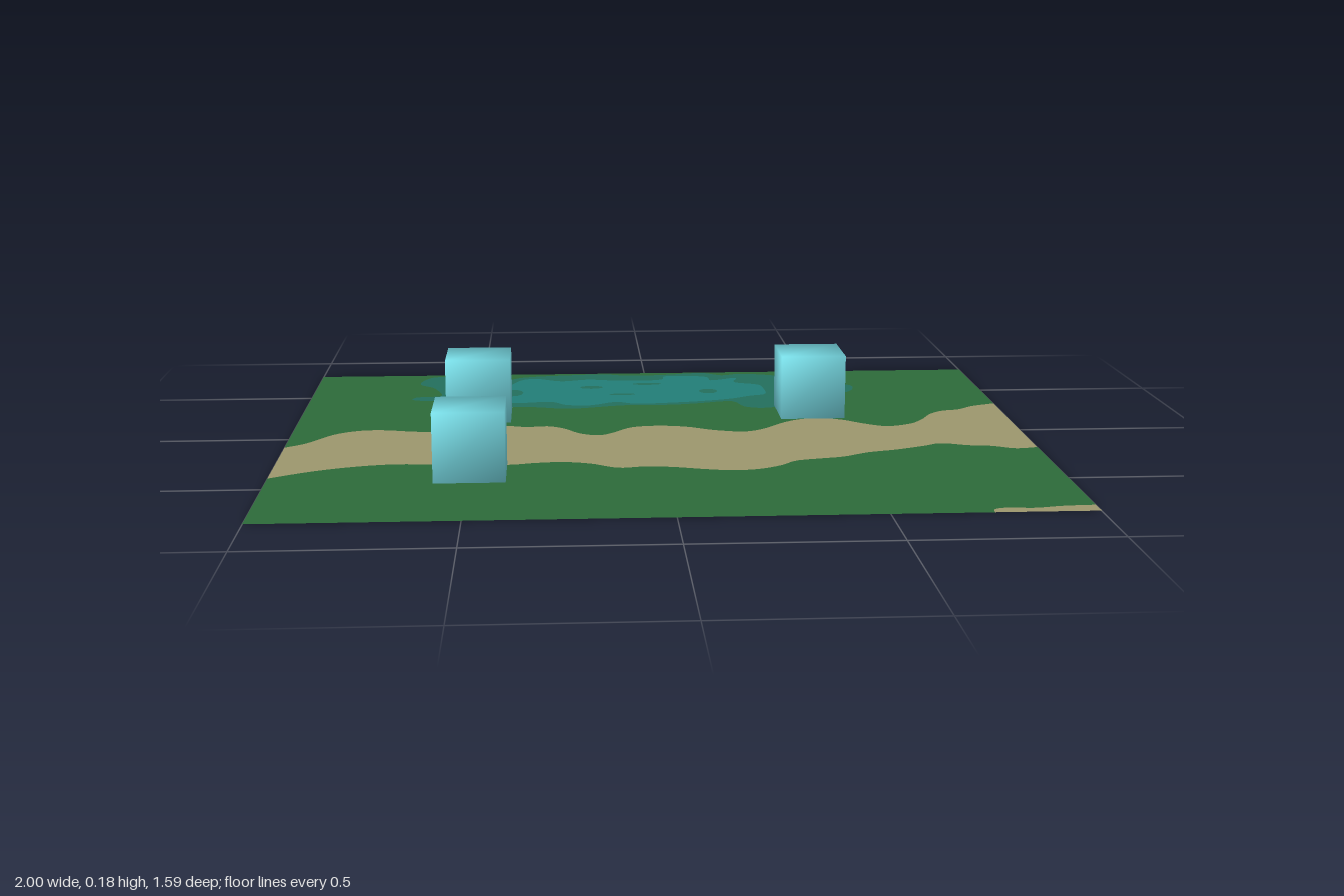
import * as THREE from 'three';
import { mergeVertices } from 'three/addons/utils/BufferGeometryUtils.js';

const flat = (name, color) => new THREE.MeshStandardMaterial({ name, color, side: THREE.DoubleSide });

// smooth outline through [x, z, x, z, ...], as points on the shape plane (y = -z)
function outline(values, closed) {
  const pts = [];
  for (let i = 0; i < values.length; i += 2) pts.push(new THREE.Vector3(values[i], -values[i + 1], 0));
  return new THREE.CatmullRomCurve3(pts, closed).getPoints(pts.length * 4)
    .slice(0, closed ? -1 : undefined)
    .map((p) => new THREE.Vector2(p.x, p.y));
}

const oval = (x, z, rx, rz) => Array.from({ length: 12 }, (_, i) => {
  const a = (i / 12) * Math.PI * 2;
  return new THREE.Vector2(x + rx * Math.cos(a), -z + rz * Math.sin(a));
});

// flat ground patch lying just above the cube bottoms
function patch(name, points, material, holes = []) {
  const shape = new THREE.Shape(points);
  shape.holes = holes.map((h) => new THREE.Path(h));
  const mesh = new THREE.Mesh(new THREE.ShapeGeometry(shape).rotateX(-Math.PI / 2), material);
  mesh.position.y = 0.001;
  mesh.name = name;
  return mesh;
}

export function createModel() {
  const group = new THREE.Group();
  const grass = flat('grass green', 0x2d6b3a);
  const sand = flat('sandy path', 0x9c966d);
  const shallow = flat('shallow water', 0x236f5d);
  const deep = flat('deep water', 0x227e78);
  const cyan = new THREE.MeshStandardMaterial({ name: 'cyan', color: 0x7adfe9 });
  const W = 1, D = 0.795;
  const at = (x, z) => new THREE.Vector2(x, -z);

  // winding path edges, from -x to +x
  const north = outline([
    -1, 0.09, -0.95, 0.05, -0.88, -0.05, -0.82, -0.085, -0.76, -0.09, -0.65, -0.065, -0.57, -0.07,
    -0.5, -0.09, -0.42, -0.12, -0.36, -0.105, -0.3, -0.11, -0.26, -0.085, -0.21, -0.02, -0.16, 0,
    -0.12, -0.03, -0.07, -0.085, 0, -0.1, 0.08, -0.085, 0.16, -0.04, 0.24, -0.02, 0.29, -0.045,
    0.36, -0.12, 0.41, -0.155, 0.47, -0.165, 0.53, -0.14, 0.58, -0.095, 0.64, -0.06, 0.71, -0.085,
    0.75, -0.13, 0.79, -0.2, 0.83, -0.235, 0.88, -0.25, 0.93, -0.29, 1, -0.32,
  ], false);
  const south = outline([
    -1, 0.4, -0.9, 0.34, -0.8, 0.3, -0.7, 0.28, -0.6, 0.285, -0.4, 0.3, -0.33, 0.285, -0.26, 0.28,
    -0.19, 0.3, -0.12, 0.345, -0.05, 0.335, 0.02, 0.345, 0.1, 0.37, 0.17, 0.385, 0.24, 0.375,
    0.3, 0.34, 0.34, 0.3, 0.41, 0.28, 0.47, 0.265, 0.54, 0.225, 0.62, 0.2, 0.7, 0.165,
    0.75, 0.14, 0.82, 0.165, 0.88, 0.175, 0.94, 0.205, 1, 0.195,
  ], false);
  // sandy corner edge
  const corner = outline([0.745, D, 0.75, 0.77, 0.78, 0.758, 0.85, 0.763, 0.92, 0.75, 1, 0.745], false);

  // lake outlines
  const shore = outline([
    -0.68, -0.73, -0.65, -0.77, -0.56, -0.76, -0.45, -0.68, -0.39, -0.745, -0.2, -0.78, -0.13, -0.785,
    -0.05, -0.76, 0.08, -0.77, 0.14, -0.785, 0.19, -0.785, 0.24, -0.75, 0.3, -0.77, 0.43, -0.72,
    0.43, -0.68, 0.54, -0.63, 0.62, -0.585, 0.61, -0.515, 0.56, -0.47, 0.48, -0.45, 0.43, -0.415,
    0.4, -0.335, 0.32, -0.3, 0.27, -0.32, 0.24, -0.39, 0.14, -0.37, 0.06, -0.355, -0.08, -0.355,
    -0.24, -0.32, -0.34, -0.345, -0.43, -0.355, -0.53, -0.39, -0.56, -0.425, -0.7, -0.457,
    -0.69, -0.49, -0.62, -0.505, -0.63, -0.57, -0.65, -0.62, -0.69, -0.665,
  ], true);
  const basin = outline([
    -0.38, -0.715, -0.34, -0.73, -0.26, -0.69, -0.18, -0.71, -0.08, -0.69, 0.05, -0.7, 0.06, -0.745,
    0.19, -0.73, 0.2, -0.68, 0.28, -0.71, 0.27, -0.65, 0.34, -0.61, 0.35, -0.56, 0.345, -0.48,
    0.3, -0.46, 0.24, -0.425, 0.16, -0.4, 0.08, -0.385, -0.05, -0.375, -0.1, -0.4, -0.18, -0.36,
    -0.25, -0.37, -0.29, -0.41, -0.39, -0.4, -0.45, -0.41, -0.5, -0.46, -0.6, -0.5, -0.605, -0.55,
    -0.53, -0.58, -0.48, -0.61, -0.42, -0.64,
  ], true);
  const pool = outline([
    0.42, -0.62, 0.47, -0.6, 0.54, -0.575, 0.565, -0.53, 0.5, -0.495, 0.425, -0.505, 0.44, -0.57,
  ], true);
  const shoals = [
    oval(-0.41, -0.535, 0.035, 0.045), oval(-0.17, -0.6, 0.035, 0.02), oval(0.18, -0.53, 0.028, 0.03),
    oval(0, -0.64, 0.045, 0.015), oval(-0.08, -0.5, 0.04, 0.012),
  ];

  group.add(
    patch('northGrass', [at(-W, -D), ...north, at(W, -D)], grass, [shore]),
    patch('path', [...north, ...[...south].reverse()], sand),
    patch('southGrass', [...south, ...[...corner].reverse(), at(-W, D)], grass),
    patch('sandyCorner', [...corner, at(W, D)], sand),
    patch('lakeShallows', shore, shallow, [basin, pool]),
    patch('lakeDeep', basin, deep, shoals),
    patch('lakePool', pool, deep),
    ...shoals.map((s) => patch('lakeShoal', s, shallow)),
  );

  // cubes with corner-shared smooth normals
  const size = 0.18;
  let cube = new THREE.BoxGeometry(size, size, size);
  cube.deleteAttribute('normal');
  cube.deleteAttribute('uv');
  cube = mergeVertices(cube);
  cube.computeVertexNormals();
  for (const [x, z] of [[-0.495, -0.25], [0.447, -0.25], [-0.495, 0.38]]) {
    const mesh = new THREE.Mesh(cube, cyan);
    mesh.name = 'cube';
    mesh.position.set(x, size / 2, z);
    group.add(mesh);
  }
  return group;
}
